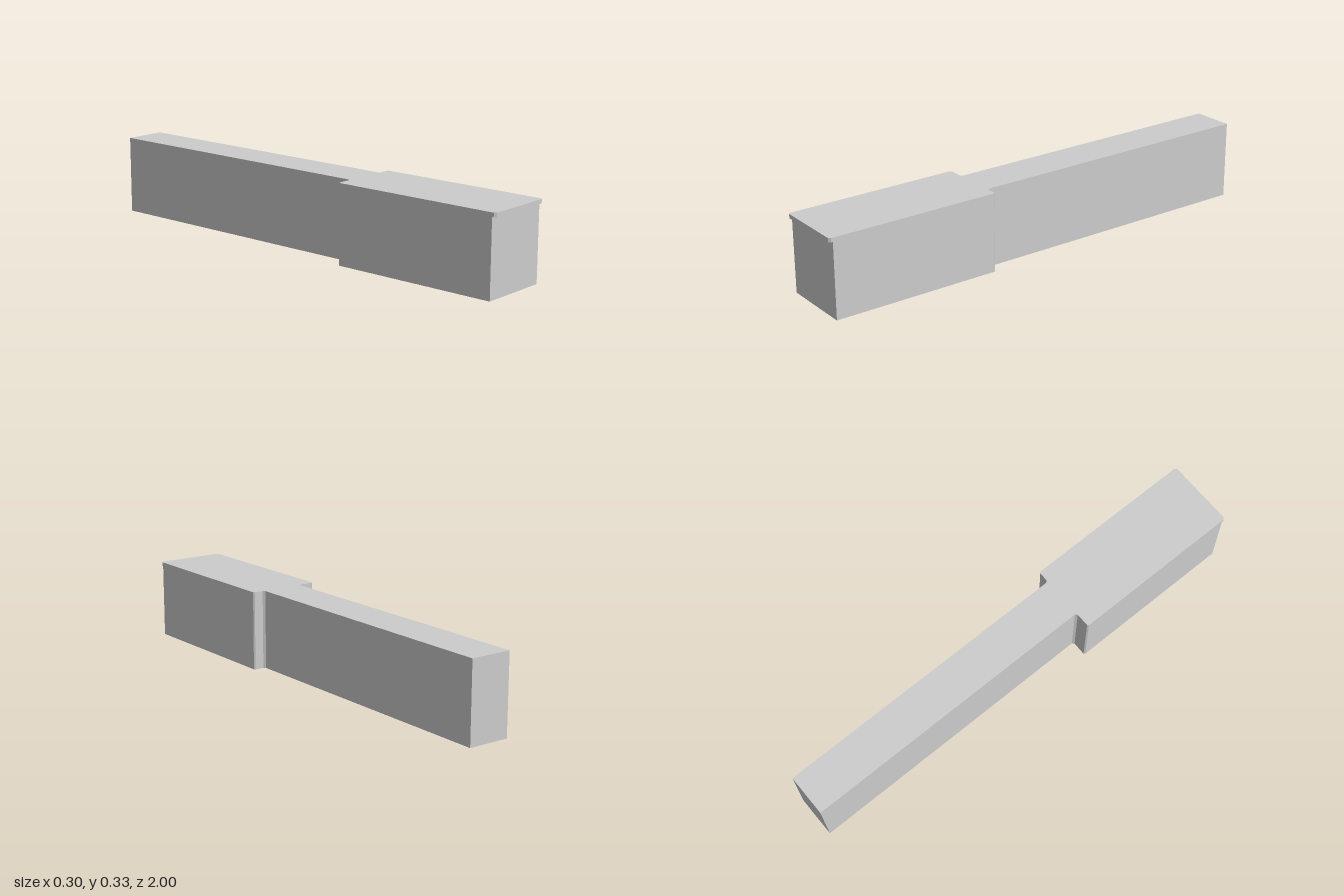
import * as THREE from 'three';

const HEIGHT = 0.328;

// Extrudes an x/z outline vertically from y = bottom to y = top.
function slab(name, outline, bottom, top, material) {
  const shape = new THREE.Shape(outline.map(([x, z]) => new THREE.Vector2(x, z)));
  const geometry = new THREE.ExtrudeGeometry(shape, { depth: top - bottom, bevelEnabled: false });
  geometry.rotateX(Math.PI / 2).translate(0, top, 0);
  const mesh = new THREE.Mesh(geometry, material);
  mesh.name = name;
  return mesh;
}

export function createModel() {
  const model = new THREE.Group();
  model.name = 'steppedBlock';
  const grey = new THREE.MeshStandardMaterial({ color: 0xcccccc });
  grey.name = 'lightGrey';

  // Wide front block joined to a slightly offset narrow bar, with small shoulder chamfers
  model.add(slab('body', [
    [-0.08, -1], [0.096, -1], [0.096, 0.262], [0.104, 0.27],
    [0.143, 0.27], [0.148, 0.275], [0.148, 0.985], [-0.15, 0.985],
    [-0.15, 0.275], [-0.145, 0.27], [-0.088, 0.27], [-0.08, 0.262],
  ], 0, HEIGHT, grey));

  // Thin lip along the top front edge, with clipped corners
  model.add(slab('frontLip', [
    [-0.15, 0.985], [0.148, 0.985], [0.148, 0.992],
    [0.14, 1], [-0.142, 1], [-0.15, 0.992],
  ], 0.311, HEIGHT, grey));

  return model;
}
